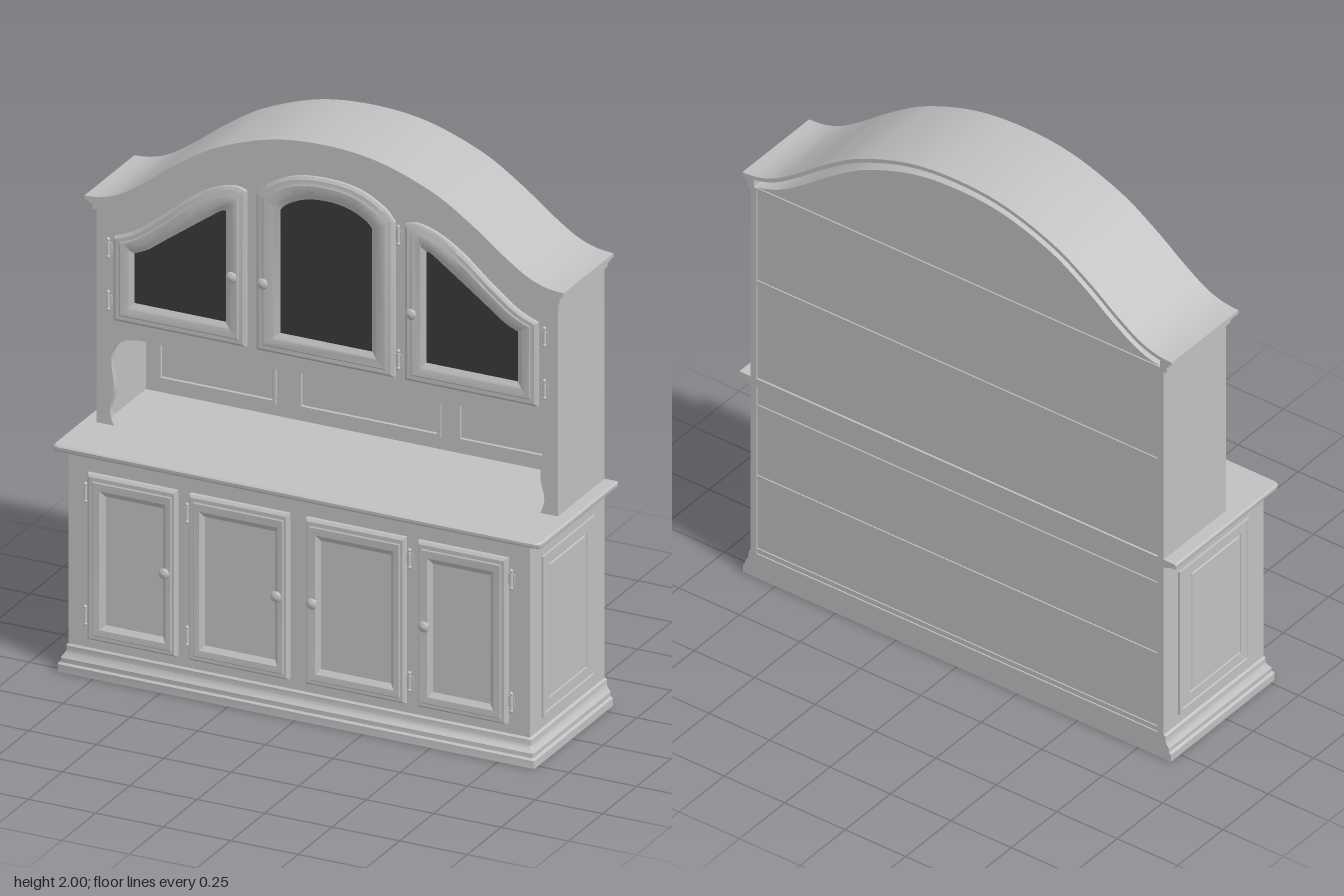
import * as THREE from 'three';
import { toCreasedNormals, mergeGeometries } from 'three/addons/utils/BufferGeometryUtils.js';

const wood = new THREE.MeshStandardMaterial({ color: 0xc0c0c0 });
wood.name = 'greyWood';
const glass = new THREE.MeshStandardMaterial({ color: 0x383838 });
glass.name = 'darkGlass';

const V3 = (x, y, z) => new THREE.Vector3(x, y, z);
const V2 = (x, y) => new THREE.Vector2(x, y);

function add(parent, name, geo, mat = wood) {
  const mesh = new THREE.Mesh(geo, mat);
  mesh.name = name;
  parent.add(mesh);
  return mesh;
}

// Triangle soup to geometry, smooth except at sharp edges
function soup(points) {
  const geo = new THREE.BufferGeometry().setFromPoints(points);
  geo.computeVertexNormals();
  return toCreasedNormals(geo, 0.5);
}

// Fan of triangles filling one ring
function fan(ring, flip = false) {
  const c = ring.reduce((s, p) => s.add(p), V3(0, 0, 0)).divideScalar(ring.length);
  const out = [];
  ring.forEach((a, j) => {
    const b = ring[(j + 1) % ring.length];
    out.push(...(flip ? [b, a, c] : [a, b, c]));
  });
  return out;
}

// Skin through a series of closed rings
function skin(rings) {
  const out = [];
  for (let i = 0; i + 1 < rings.length; i++) {
    rings[i].forEach((a, j) => {
      const k = (j + 1) % rings[i].length;
      const b = rings[i][k], c = rings[i + 1][k], d = rings[i + 1][j];
      out.push(a, b, c, a, c, d);
    });
  }
  return out;
}

// Horizontal moulded slab; levels are [halfWidth, zFront, zBack, y]
function slab(levels, ch) {
  const rings = levels.map(([w, f, b, y]) => [
    V3(w - ch, y, f), V3(w - ch * 0.3, y, f - ch * 0.3), V3(w, y, f - ch), V3(w, y, b),
    V3(-w, y, b), V3(-w, y, f - ch), V3(-w + ch * 0.3, y, f - ch * 0.3), V3(-w + ch, y, f)]);
  return soup([...fan(rings[0], true), ...skin(rings), ...fan(rings[rings.length - 1])]);
}

// Framed panel between two outlines; profile holds [blend, height]
function framed(parent, name, outer, inner, profile, paneMat = wood) {
  const group = new THREE.Group();
  group.name = name;
  const rings = profile.map(([t, z]) => outer.map((p, i) => {
    const q = p.clone().lerp(inner[i], t);
    return V3(q.x, q.y, z);
  }));
  add(group, 'frame', soup(skin(rings)));
  add(group, 'pane', soup(fan(rings[rings.length - 1])), paneMat);
  parent.add(group);
  return group;
}

const rect = (x0, x1, y0, y1) => [V2(x0, y0), V2(x1, y0), V2(x1, y1), V2(x0, y1)];
const spline = (pts, n) => new THREE.SplineCurve(pts.map(p => V2(...p))).getPoints(n);
const mirrorX = pts => pts.map(p => V2(-p.x, p.y)).reverse();

function extrude(points, z0, z1) {
  const geo = new THREE.ExtrudeGeometry(new THREE.Shape(points), { depth: z1 - z0, bevelEnabled: false });
  geo.translate(0, 0, z0);
  return toCreasedNormals(geo, 0.5);
}

function box(parent, name, x0, x1, y0, y1, z0, z1) {
  const mesh = add(parent, name, new THREE.BoxGeometry(x1 - x0, y1 - y0, z1 - z0));
  mesh.position.set((x0 + x1) / 2, (y0 + y1) / 2, (z0 + z1) / 2);
}

// Arched top line, left to right, moved inward by off and cut at half width hw
const half = [[0, 2], [0.2, 1.98], [0.4, 1.91], [0.54, 1.825], [0.66, 1.735], [0.75, 1.675], [0.82, 1.648], [0.885, 1.64]];
const archCurve = new THREE.SplineCurve(
  [...half.slice(1).reverse().map(([x, y]) => V2(-x, y)), ...half.map(([x, y]) => V2(x, y))]);
function arch(off, hw) {
  const pts = [];
  for (let i = 0; i <= 84; i++) {
    const p = archCurve.getPoint(i / 84), t = archCurve.getTangent(i / 84);
    const q = V2(p.x + t.y * off, p.y - t.x * off);
    if (Math.abs(q.x) < hw - 0.003) pts.push(q);
  }
  return [V2(-hw, 1.64 - off), ...pts, V2(hw, 1.64 - off)];
}
const archedBoard = (y0, hw) => [V2(-hw, y0), V2(hw, y0), ...arch(0.046, hw).reverse()];

const knobGeo = new THREE.LatheGeometry([[0.011, 0], [0.007, 0.004], [0.006, 0.014], [0.018, 0.02],
  [0.02, 0.025], [0.014, 0.031], [0, 0.034]].map(p => V2(...p)), 20).rotateX(Math.PI / 2);

// Hinge: barrel, end balls and leaf
const hingeGeo = mergeGeometries([
  new THREE.CylinderGeometry(0.006, 0.006, 0.05, 10),
  new THREE.SphereGeometry(0.007, 10, 6).translate(0, 0.031, 0),
  new THREE.SphereGeometry(0.007, 10, 6).translate(0, -0.031, 0),
  new THREE.BoxGeometry(0.024, 0.036, 0.004).translate(0, 0, -0.004)]);

export function createModel() {
  const model = new THREE.Group();
  model.name = 'cabinet';

  // Lower cabinet
  const base = new THREE.Group();
  base.name = 'lowerCabinet';
  model.add(base);
  box(base, 'lowerBody', -0.855, 0.855, 0.07, 0.79, -0.292, 0.25);
  add(base, 'plinth', slab([[0.855, 0.248, -0.285, 0.055], [0.855, 0.248, -0.285, 0], [0.885, 0.277, -0.3, 0],
    [0.885, 0.277, -0.3, 0.028], [0.877, 0.27, -0.3, 0.034], [0.877, 0.27, -0.3, 0.05], [0.869, 0.263, -0.3, 0.06],
    [0.863, 0.257, -0.3, 0.072], [0.863, 0.257, -0.3, 0.092], [0.856, 0.251, -0.3, 0.098]], 0.008));
  add(base, 'counter', slab([[0.86, 0.254, -0.3, 0.786], [0.88, 0.266, -0.3, 0.795], [0.903, 0.275, -0.3, 0.797],
    [0.905, 0.277, -0.3, 0.802], [0.905, 0.277, -0.3, 0.812], [0.9, 0.272, -0.3, 0.817]], 0.02));

  // Lower doors
  const doorProfile = [[0, 0], [0, 0.014], [0.12, 0.021], [0.3, 0.021], [0.36, 0.024], [0.72, 0.022], [0.8, 0.018], [1, 0.008]];
  for (const s of [-1, 1]) {
    for (const [a, b, c, d] of [[0.447, 0.777, 0.5, 0.712], [0.032, 0.4, 0.085, 0.345]]) {
      const [x0, x1] = s > 0 ? [a, b] : [-b, -a];
      const [i0, i1] = s > 0 ? [c, d] : [-d, -c];
      framed(base, 'lowerDoor', rect(x0, x1, 0.135, 0.735), rect(i0, i1, 0.195, 0.66), doorProfile).position.z = 0.25;
      add(base, 'lowerKnob', knobGeo).position.set(s * (a + 0.034), 0.44, 0.267);
      for (const y of [0.215, 0.66]) add(base, 'lowerHinge', hingeGeo).position.set(s * (b + 0.012), y, 0.257);
    }
    // Side panel with raised border and field
    const side = (z0, z1, y0, y1) => rect(...(s > 0 ? [-z1, -z0] : [z0, z1]), y0, y1);
    const panel = framed(base, 'sidePanel', side(-0.22, 0.165, 0.135, 0.72), side(-0.147, 0.11, 0.205, 0.67),
      [[0, 0], [0, 0.008], [0.2, 0.008], [0.25, 0.005], [0.8, 0.005], [0.82, 0.001], [0.95, 0.001], [1, 0.005]]);
    panel.rotation.y = s * Math.PI / 2;
    panel.position.x = s * 0.855;
    // Back edge of the side
    const x = s > 0 ? 0.83 : -0.855;
    box(base, 'backStile', x, x + 0.025, 0.09, 0.79, -0.3, -0.285);
  }

  // Upper cabinet carcass
  const upper = new THREE.Group();
  upper.name = 'upperCabinet';
  model.add(upper);
  for (const s of [-1, 1]) {
    const span = (a, b) => (s > 0 ? [a, b] : [-b, -a]);
    box(upper, 'sideWall', ...span(0.83, 0.855), 0.815, 1.6, -0.3, 0.022);
    // Crown mouldings returning along the sides
    box(upper, 'upperReturn', ...span(0.84, 0.877), 1.612, 1.629, -0.3, 0.0);
    box(upper, 'lowerReturn', ...span(0.84, 0.866), 1.588, 1.614, -0.3, 0.0);
  }
  add(upper, 'backBoard', extrude(archedBoard(0.81, 0.85), -0.292, -0.27));
  add(upper, 'cupboardBody', extrude(archedBoard(1.19, 0.85), -0.28, 0.022));

  // Front board with scalloped niche opening
  const scallop = spline([[0.79, 0.815], [0.805, 0.87], [0.79, 0.95], [0.8, 1.06], [0.775, 1.115], [0.71, 1.142],
    [0.58, 1.143], [0.46, 1.143], [0.34, 1.13], [0.24, 1.14], [0.12, 1.14], [0.05, 1.16], [0, 1.17]], 60);
  add(upper, 'frontBoard', extrude([V2(-0.855, 0.815), ...mirrorX(scallop).reverse(), ...scallop.slice(0, -1).reverse(),
    V2(0.855, 0.815), ...arch(0.04, 0.855).reverse()], 0.022, 0.045));

  // Niche back panels
  for (const [a, b] of [[-0.785, -0.345], [-0.265, 0.265], [0.325, 0.785]]) {
    framed(upper, 'nichePanel', rect(a, b, 0.86, 1.13), rect(a + 0.016, b - 0.016, 0.876, 1.114),
      [[0, 0], [0, 0.008], [0.8, 0.008], [1, 0.002]]).position.z = -0.27;
  }

  // Glazed upper doors
  const upperProfile = doorProfile.map(([t, z]) => [t, z * 0.85]);
  const midOuter = [V2(-0.255, 1.205), V2(0.255, 1.205), ...spline([[0.255, 1.765], [0.215, 1.81], [0.12, 1.858],
    [0, 1.872], [-0.12, 1.858], [-0.215, 1.81], [-0.255, 1.765]], 20)];
  const midInner = [V2(-0.17, 1.28), V2(0.17, 1.28), ...spline([[0.17, 1.725], [0.145, 1.75], [0.08, 1.78],
    [0, 1.79], [-0.08, 1.78], [-0.145, 1.75], [-0.17, 1.725]], 20)];
  const sideOuter = [V2(0.295, 1.205), V2(0.785, 1.205), ...spline([[0.785, 1.507], [0.71, 1.54], [0.61, 1.615],
    [0.51, 1.7], [0.42, 1.755], [0.34, 1.778], [0.295, 1.768]], 20)];
  const sideInner = [V2(0.372, 1.28), V2(0.71, 1.28), ...spline([[0.71, 1.46], [0.66, 1.483], [0.6, 1.527],
    [0.52, 1.585], [0.45, 1.635], [0.39, 1.677], [0.372, 1.68]], 20)];
  const doors = [['middleDoor', midOuter, midInner], ['leftDoor', sideOuter, sideInner],
    ['rightDoor', mirrorX(sideOuter), mirrorX(sideInner)]];
  for (const [name, outer, inner] of doors) framed(upper, name, outer, inner, upperProfile, glass).position.z = 0.045;
  for (const x of [-0.335, -0.22, 0.33]) add(upper, 'upperKnob', knobGeo).position.set(x, 1.46, 0.061);
  for (const [x, y] of [[-0.808, 1.46], [-0.808, 1.27], [0.267, 1.72], [0.267, 1.27], [0.808, 1.46], [0.808, 1.27]]) {
    add(upper, 'upperHinge', hingeGeo).position.set(x, y, 0.051);
  }

  // Arched roof with stepped mouldings along its front, open behind
  for (const [name, o0, o1, hw, z0, z1] of [['roof', 0, 0.014, 0.888, -0.3, 0.068],
    ['upperMoulding', 0.012, 0.028, 0.877, -0.02, 0.061], ['lowerMoulding', 0.026, 0.052, 0.866, -0.02, 0.053]]) {
    add(upper, name, extrude([...arch(o1, hw), ...arch(o0, hw).reverse()], z0, z1));
  }

  // Shelf edges across the back
  for (const y of [0.1, 0.4, 0.69, 1.2, 1.58]) box(model, 'backRail', -0.85, 0.85, y, y + 0.018, -0.297, -0.288);
  return model;
}
